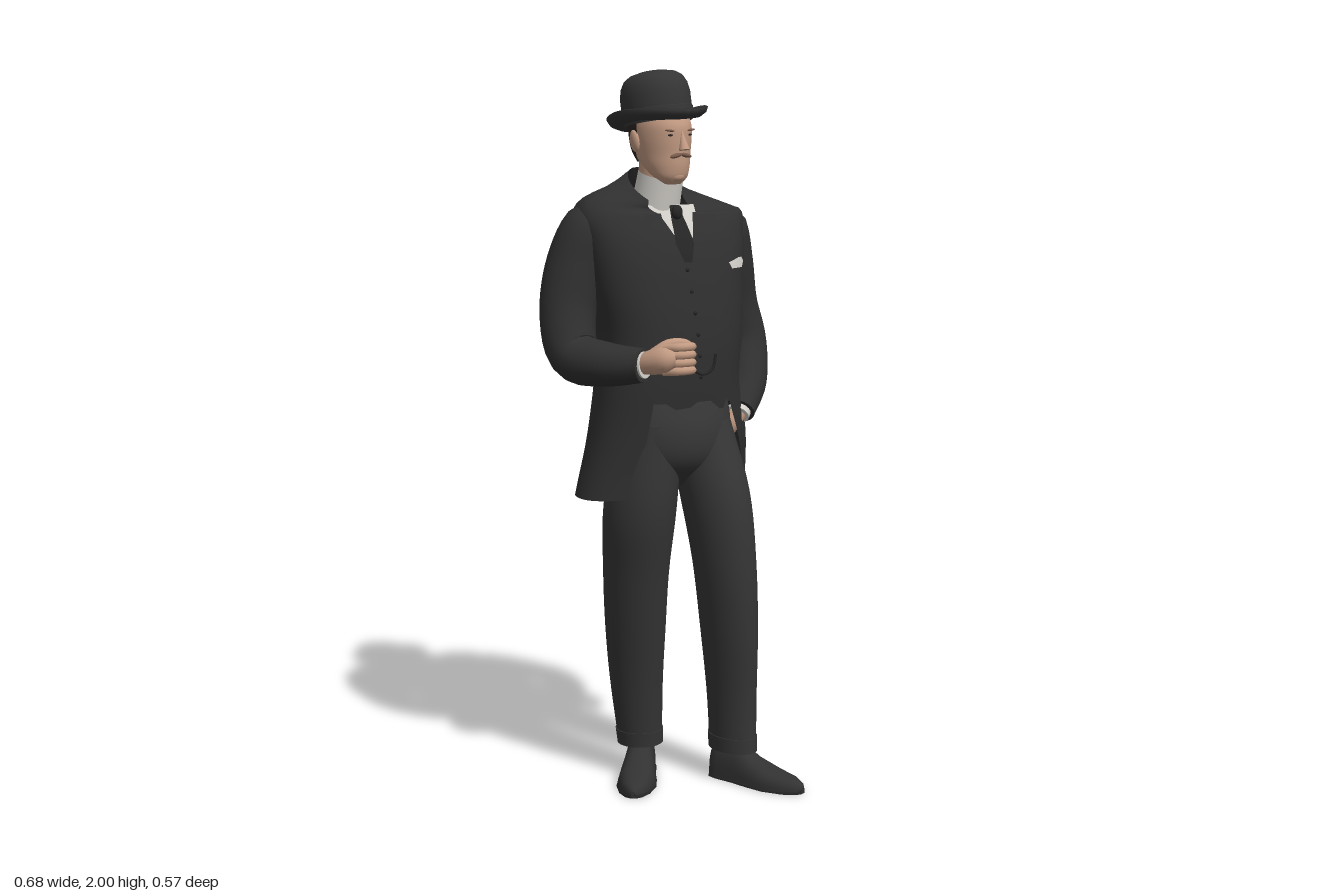
import * as THREE from 'three';

const V = (x, y, z) => new THREE.Vector3(x, y, z);
const mat = (name, color, side = THREE.DoubleSide) => {
  const m = new THREE.MeshStandardMaterial({ color, side });
  m.name = name;
  return m;
};

// Smooth interpolation of a table whose first column is the ascending key
function table(rows) {
  const keys = rows.map(r => r[0]), n = rows[0].length - 1;
  const f = new THREE.CubicInterpolant(keys, rows.flatMap(r => r.slice(1)), n, new Float32Array(n));
  return k => Array.from(f.evaluate(THREE.MathUtils.clamp(k, keys[0], keys.at(-1))));
}

// Skin over a list of rings of points; caps get sharp rims
function loft(rings, closed = true) {
  const n = rings[0].length;
  if (closed) {
    const fan = ring => {
      const c = ring.reduce((s, p) => s.add(p), V(0, 0, 0)).divideScalar(n);
      return ring.map(() => c);
    };
    rings = [fan(rings[0]), rings[0], ...rings, rings.at(-1), fan(rings.at(-1))];
  }
  const pos = [], idx = [];
  rings.forEach(r => r.forEach(p => pos.push(p.x, p.y, p.z)));
  for (let i = 0; i < rings.length - 1; i++)
    for (let j = 0; j < (closed ? n : n - 1); j++) {
      const a = i * n + j, b = i * n + (j + 1) % n;
      idx.push(a, b, a + n, b + n, a + n, b);
    }
  const g = new THREE.BufferGeometry();
  g.setAttribute('position', new THREE.Float32BufferAttribute(pos, 3));
  g.setIndex(idx);
  g.computeVertexNormals();
  return g;
}

// Point on an upright section [cx, cz, rx, rz, yaw, squareness power] at angle t from the front
const power = (v, e) => Math.sign(v) * Math.abs(v) ** e;
function onSection([cx, cz, rx, rz, yaw = 0, e = 1], y, t, off = 0) {
  const lx = (rx + off) * power(Math.sin(t), e), lz = (rz + off) * power(Math.cos(t), e);
  return V(cx + lx * Math.cos(yaw) - lz * Math.sin(yaw), y, cz + lx * Math.sin(yaw) + lz * Math.cos(yaw));
}
const span = (a, b, n) => Array.from({ length: n + 1 }, (_, i) => a + (b - a) * i / n);

// Stack of sections: rows [y, ...section]
function stack(rows, { off = 0, y0 = rows[0][0], y1 = rows.at(-1)[0], levels = 24 } = {}) {
  const f = table(rows), angles = span(0, Math.PI * 2, 40).slice(0, -1);
  return loft(span(y0, y1, levels).map(y => angles.map(t => onSection(f(y), y, t, off))));
}

// Round limb along points [x, y, z, radius]
function limb(points, steps = 28, sides = 20) {
  const curve = new THREE.CatmullRomCurve3(points.map(p => V(p[0], p[1], p[2])));
  const fr = curve.computeFrenetFrames(steps);
  const rad = table(points.map((p, i) => [i / (points.length - 1), p[3]]));
  return loft(span(0, 1, steps).map((u, i) => {
    const c = curve.getPointAt(u), r = rad(curve.getUtoTmapping(u))[0];
    return span(0, Math.PI * 2, sides).slice(0, -1).map(t => c.clone()
      .addScaledVector(fr.normals[i], r * Math.cos(t)).addScaledVector(fr.binormals[i], r * Math.sin(t)));
  }));
}

// Torso sections, and the coat's front edges [y, right x, left x]
const TORSO = [
  [0.86, 0, -0.095, 0.262, 0.136, 0.17, 0.9], [1.0, 0, -0.072, 0.232, 0.143, 0.25, 0.87], [1.15, -0.01, -0.06, 0.203, 0.15, 0.33, 0.85],
  [1.28, 0, -0.061, 0.2, 0.156, 0.35, 0.82], [1.42, 0, -0.083, 0.216, 0.16, 0.36, 0.76], [1.55, 0, -0.1, 0.232, 0.145, 0.36, 0.74],
  [1.62, -0.004, -0.106, 0.238, 0.117, 0.36, 0.8], [1.66, -0.01, -0.103, 0.205, 0.096, 0.33, 0.88],
  [1.695, -0.02, -0.092, 0.132, 0.085, 0.2, 1], [1.735, -0.033, -0.078, 0.076, 0.074, 0.1, 1]];
const EDGES = [[0.86, -0.18, 0.2], [1.0, -0.155, 0.135], [1.1, -0.145, 0.085], [1.2, -0.135, 0.05], [1.35, -0.11, 0.022],
  [1.5, -0.09, 0.01], [1.6, -0.08, 0.018], [1.655, -0.09, 0.03], [1.69, -0.1, 0.035], [1.735, -0.095, 0.03]];
const torso = table(TORSO), edges = table(EDGES);

function angleAt(y, x, off = 0) {
  let a = -1.5, b = 1.5;
  for (let i = 0; i < 30; i++) {
    const m = (a + b) / 2;
    if (onSection(torso(y), y, m, off).x < x) a = m; else b = m;
  }
  return a;
}
const onChest = (x, y, off) => onSection(torso(y), y, angleAt(y, x, off), off);

// Cloth panel lying on the chest: rows [y, right x, left x]
function panel(rows, off) {
  const f = y => {
    const i = Math.max(1, rows.findIndex(r => r[0] >= y - 1e-9)), a = rows[i - 1], b = rows[i];
    const k = (y - a[0]) / (b[0] - a[0]);
    return [a[1] + (b[1] - a[1]) * k, a[2] + (b[2] - a[2]) * k];
  };
  const ys = rows.flatMap((r, i) => i ? span(rows[i - 1][0], r[0], 4).slice(1) : [r[0]]);
  return loft(ys.map(y => span(...f(y), 8).map(x => onChest(x, y, off))), false);
}

export function createModel() {
  const model = new THREE.Group();
  const cloth = mat('jacket cloth', 0x303030), trouser = mat('trouser cloth', 0x363636), leather = mat('shoe leather', 0x323232);
  const felt = mat('hat felt', 0x353535), skin = mat('skin', 0xc29a82), linen = mat('white linen', 0xd6d3cd);
  const hair = mat('hair', 0x2b2624), whisker = mat('moustache brown', 0x77594a), dark = mat('dark trim', 0x262626);
  const add = (name, geo, m, parent = model) => {
    const mesh = new THREE.Mesh(geo, m);
    mesh.name = name;
    parent.add(mesh);
    return mesh;
  };
  const ball = (name, m, p, s, parent = model) => {
    const b = add(name, new THREE.SphereGeometry(1, 20, 14), m, parent);
    b.position.set(...p);
    b.scale.set(...s);
    return b;
  };

  // Jacket, open down the front: hem rises toward the left, neckline drops toward the front
  add('jacket', loft(span(0.86, 1.735, 56).map(y => {
    const [xr, xl] = edges(y), rise = 0.07 * Math.max(0, 1 - (y - 0.86) / 0.2);
    const drop = 0.7 * THREE.MathUtils.clamp((y - 1.62) / 0.11, 0, 1);
    return span(angleAt(y, xl), angleAt(y, xr) + Math.PI * 2, 64).map(t => {
      const p = onSection(torso(y), y, t);
      return p.setY(y + rise * p.x - drop * Math.max(0, p.z + 0.15));
    });
  }), false), cloth);
  add('rightLapel', panel([[1.35, -0.115, -0.108], [1.45, -0.15, -0.095], [1.545, -0.185, -0.083], [1.555, -0.155, -0.082], [1.62, -0.12, -0.08]], 0.006), cloth);
  add('leftLapel', panel([[1.32, 0.02, 0.03], [1.45, 0.008, 0.075], [1.545, 0.008, 0.12], [1.555, 0.01, 0.095], [1.615, 0.018, 0.07]], 0.006), cloth);
  add('pocketSquare', panel([[1.468, 0.09, 0.135], [1.485, 0.08, 0.145], [1.496, 0.12, 0.135]], 0.007), linen);

  // Waistcoat, shirt and tie
  add('waistcoat', stack(TORSO, { off: -0.012, y0: 1.11, y1: 1.51 }), cloth);
  add('waistcoatRightTop', panel([[1.49, -0.12, -0.03], [1.56, -0.11, -0.055], [1.62, -0.1, -0.078]], -0.005), cloth);
  add('waistcoatLeftTop', panel([[1.49, -0.04, 0.04], [1.56, -0.005, 0.04], [1.62, 0.014, 0.04]], -0.005), cloth);
  add('waistcoatRightPoint', panel([[1.085, -0.07, -0.055], [1.125, -0.13, 0.0]], -0.01), cloth);
  add('waistcoatLeftPoint', panel([[1.085, 0.055, 0.07], [1.125, 0.0, 0.085]], -0.01), cloth);
  add('shirtFront', panel([[1.505, -0.09, 0.02], [1.64, -0.095, 0.03]], -0.012), linen);
  add('tie', panel([[1.49, -0.045, -0.025], [1.54, -0.06, -0.01], [1.6, -0.052, -0.016], [1.64, -0.045, -0.022]], -0.002), dark);
  for (let i = 0; i < 6; i++) {
    const p = onChest(-0.035 + 0.004 * i, 1.47 - i * 0.058, -0.01);
    ball('waistcoatButton', dark, p.toArray(), [0.006, 0.006, 0.004]);
  }
  const chain = [[-0.085, 1.245], [-0.05, 1.21], [-0.012, 1.187], [0.018, 1.2], [0.028, 1.24]].map(([x, y]) => onChest(x, y, -0.008));
  add('watchChain', new THREE.TubeGeometry(new THREE.CatmullRomCurve3(chain), 24, 0.004, 6), dark);

  // Neck and collar
  add('neck', stack([[1.58, -0.035, -0.075, 0.052, 0.052], [1.78, -0.036, -0.06, 0.052, 0.056]], { levels: 4 }), skin);
  const collar = add('shirtCollar', new THREE.CylinderGeometry(0.062, 0.066, 0.1, 32, 1, true), linen);
  collar.position.set(-0.034, 1.675, -0.067);
  collar.rotation.x = 0.25;
  ball('tieKnot', dark, [-0.034, 1.622, 0.01], [0.017, 0.02, 0.013]);

  // Head
  const head = new THREE.Group();
  head.name = 'head';
  head.position.set(-0.037, 0, -0.05);
  head.rotation.y = -0.1;
  model.add(head);
  const SKULL = [[1.698, 0, 0.052, 0.022, 0.018], [1.712, 0, 0.045, 0.042, 0.038], [1.74, 0, 0.025, 0.058, 0.066], [1.78, 0, 0.005, 0.068, 0.088],
    [1.82, 0, 0, 0.074, 0.095], [1.855, 0, -0.002, 0.075, 0.095], [1.885, 0, -0.006, 0.07, 0.084]];
  add('face', stack(SKULL), skin, head);
  const skull = table(SKULL);
  add('hair', loft(span(1.755, 1.88, 10).map(y => {
    const start = 1.55 + Math.max(0, 1.81 - y) * 8;
    return span(start, Math.PI * 2 - start, 30).map(t => onSection(skull(y), y, t, 0.006));
  }), false), hair, head);
  const nose = add('nose', new THREE.ConeGeometry(0.015, 0.055, 12), skin, head);
  nose.position.set(0, 1.818, 0.1);
  nose.rotation.x = -0.22;
  ball('noseTip', skin, [0, 1.798, 0.105], [0.012, 0.009, 0.012], head);
  ball('mouth', whisker, [0, 1.758, 0.083], [0.018, 0.003, 0.005], head);
  ball('chin', skin, [0, 1.722, 0.07], [0.026, 0.018, 0.018], head);
  for (const s of [-1, 1]) {
    ball('ear', skin, [s * 0.079, 1.812, -0.012], [0.01, 0.03, 0.018], head).rotation.z = -s * 0.15;
    ball('eye', hair, [s * 0.03, 1.83, 0.085], [0.009, 0.003, 0.005], head);
    ball('eyebrow', whisker, [s * 0.031, 1.842, 0.086], [0.018, 0.003, 0.006], head).rotation.z = s * 0.1;
    ball('moustache', whisker, [s * 0.015, 1.776, 0.09], [0.02, 0.006, 0.008], head).rotation.z = -s * 0.22;
  }

  // Bowler hat with curled brim
  const hat = new THREE.Group();
  hat.name = 'hat';
  hat.position.set(-0.035, 1.857, -0.064);
  hat.rotation.set(-0.18, -0.1, 0);
  model.add(hat);
  const lathe = pts => new THREE.LatheGeometry(pts.map(p => new THREE.Vector2(...p)), 48);
  add('hatCrown', lathe([[0.97, 0], [1, 0.04], [1, 0.075], [0.95, 0.1], [0.84, 0.12], [0.66, 0.132], [0.36, 0.139], [0, 0.141]]), felt, hat).scale.set(0.09, 1, 0.106);
  add('hatBand', lathe([[1.0, 0.002], [1.025, 0.035], [1.0, 0.037]]), felt, hat).scale.set(0.09, 1, 0.106);
  const brim = lathe([[0.07, -0.002], [0.108, -0.006], [0.125, 0.002], [0.131, 0.014], [0.126, 0.018], [0.118, 0.009], [0.106, 0.003], [0.07, 0.007]]);
  const bp = brim.attributes.position;
  for (let i = 0; i < bp.count; i++) bp.setY(i, bp.getY(i) + 0.022 * (bp.getX(i) / 0.13) ** 2);
  brim.computeVertexNormals();
  add('hatBrim', brim, felt, hat).scale.z = 1.16;

  // Sleeves, cuffs and hands
  add('leftSleeve', limb([[0.16, 1.605, -0.035, 0.035], [0.186, 1.572, -0.045, 0.066], [0.214, 1.47, -0.065, 0.078], [0.246, 1.35, -0.076, 0.075],
    [0.274, 1.24, -0.058, 0.069], [0.235, 1.13, 0.0, 0.058], [0.163, 1.06, 0.045, 0.046]]), cloth);
  add('rightSleeve', limb([[-0.16, 1.625, -0.16, 0.035], [-0.188, 1.585, -0.172, 0.07], [-0.22, 1.47, -0.195, 0.083], [-0.255, 1.34, -0.188, 0.077],
    [-0.27, 1.24, -0.14, 0.07], [-0.25, 1.225, -0.03, 0.06], [-0.212, 1.23, 0.075, 0.046]]), cloth);
  add('leftShirtCuff', limb([[0.178, 1.073, 0.04, 0.034], [0.155, 1.052, 0.05, 0.034]], 4), linen);
  add('rightShirtCuff', limb([[-0.22, 1.23, 0.05, 0.036], [-0.21, 1.232, 0.081, 0.036]], 4), linen);
  add('leftHand', limb([[0.165, 1.06, 0.045, 0.026], [0.142, 1.035, 0.042, 0.027], [0.12, 0.99, 0.02, 0.025]], 8), skin);
  add('rightPalm', limb([[-0.212, 1.233, 0.07, 0.028], [-0.2, 1.243, 0.11, 0.035], [-0.185, 1.252, 0.145, 0.036], [-0.172, 1.253, 0.165, 0.022]], 10), skin);
  ball('rightFistInner', skin, [-0.148, 1.25, 0.152], [0.026, 0.036, 0.018]);
  for (let i = 0; i < 4; i++) {
    const y = 1.218 + i * 0.021;
    add('rightFinger', limb([[-0.195, y, 0.135, 0.011], [-0.17, y + 0.004, 0.174, 0.012], [-0.125, y + 0.002, 0.172, 0.011],
      [-0.114, y, 0.15, 0.01], [-0.14, y, 0.137, 0.009]], 14, 10), skin);
  }
  add('rightThumb', limb([[-0.2, 1.262, 0.1, 0.015], [-0.165, 1.288, 0.125, 0.014], [-0.125, 1.288, 0.145, 0.012], [-0.11, 1.28, 0.155, 0.007]], 12, 10), skin);

  // Trousers
  add('trouserSeat', stack([[0.87, -0.015, -0.01, 0.06, 0.025, 0.3], [0.94, -0.015, -0.015, 0.14, 0.095, 0.3],
    [1.02, -0.015, -0.025, 0.165, 0.118, 0.3], [1.15, -0.012, -0.05, 0.16, 0.105, 0.33]]), trouser);
  const LEGS = {
    left: [[0.095, 0.133, 0.06, 0.054, 0.078], [0.25, 0.125, 0.063, 0.059, 0.082], [0.45, 0.107, 0.07, 0.069, 0.094], [0.65, 0.088, 0.07, 0.08, 0.1],
      [0.85, 0.072, 0.045, 0.09, 0.108], [1.05, 0.058, -0.01, 0.085, 0.098]],
    right: [[0.095, -0.025, -0.16, 0.063, 0.062], [0.28, -0.05, -0.147, 0.072, 0.079], [0.45, -0.072, -0.125, 0.08, 0.092], [0.62, -0.092, -0.098, 0.086, 0.1],
      [0.8, -0.105, -0.066, 0.096, 0.108], [1.05, -0.085, -0.045, 0.085, 0.1]] };
  for (const [side, rows] of Object.entries(LEGS)) {
    add(side + 'TrouserLeg', stack(rows), trouser);
    add(side + 'TrouserCuff', stack(rows, { off: 0.003, y0: 0.092, y1: 0.135, levels: 3 }), trouser);
  }

  // Shoes: rows [z, half width, height] from toe to heel
  const SHOE = [[0.232, 0.006, 0.02], [0.222, 0.021, 0.03], [0.19, 0.04, 0.041], [0.13, 0.054, 0.052], [0.07, 0.05, 0.074], [0.02, 0.043, 0.105],
    [-0.04, 0.041, 0.11], [-0.068, 0.034, 0.09], [-0.08, 0.014, 0.055]];
  const shoe = (grow, height) => loft(SHOE.map(([z, w, h]) => span(0, Math.PI * 2, 28).slice(0, -1).map(t =>
    V((w + grow) * power(Math.sin(t), 0.8), (height || h) * Math.max(0, Math.cos(t)) ** 0.75, z))));
  for (const [side, x, z, turn] of [['left', 0.142, 0.062, 0.2], ['right', -0.025, -0.16, -0.8]]) {
    const foot = new THREE.Group();
    foot.name = side + 'Shoe';
    foot.position.set(x, 0, z);
    foot.rotation.y = turn;
    add('upper', shoe(0, 0), leather, foot);
    add('sole', shoe(0.003, 0.014), dark, foot);
    model.add(foot);
  }
  return model;
}
